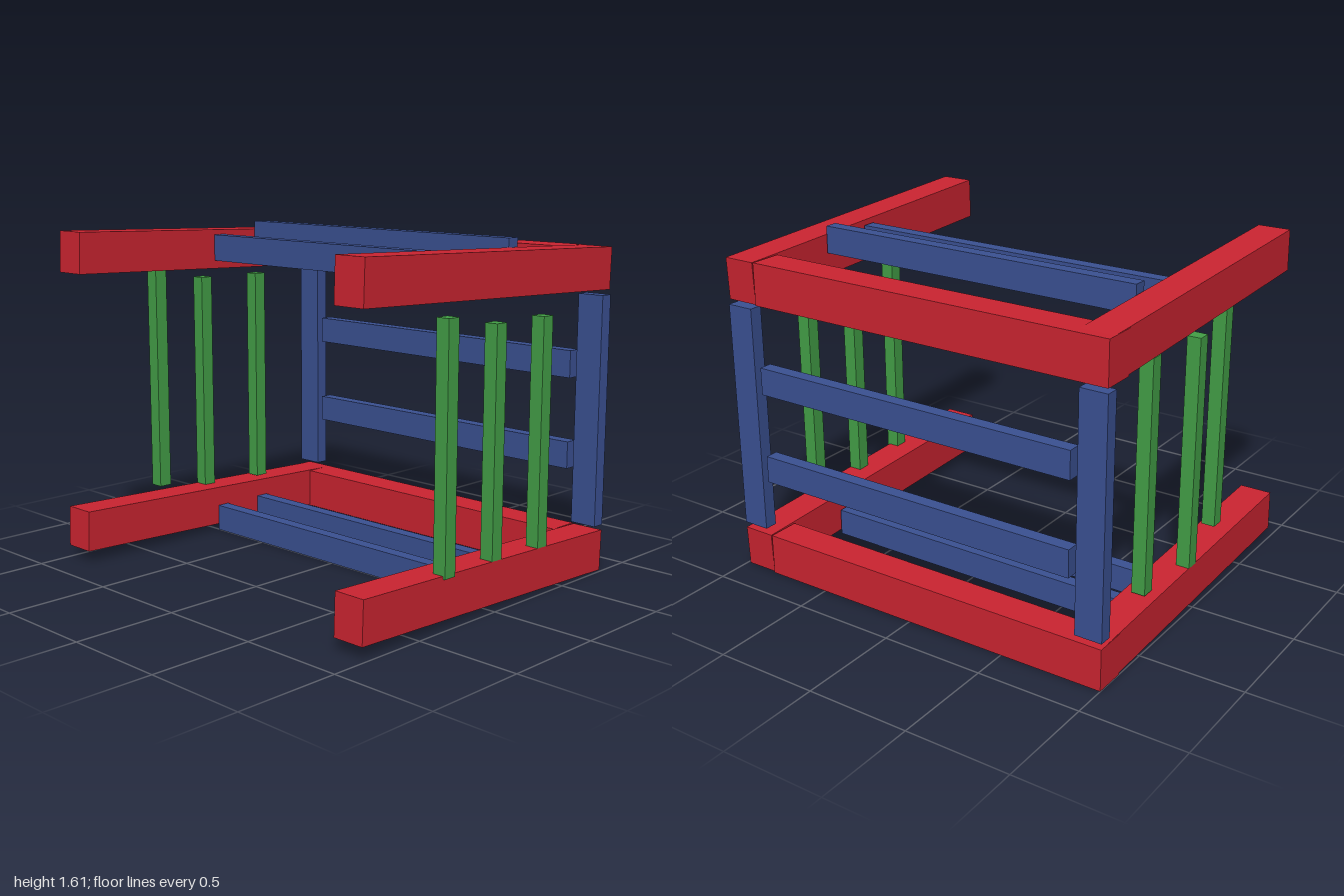
import * as THREE from 'three';

export function createModel() {
  const model = new THREE.Group();
  const red = new THREE.MeshStandardMaterial({ color: 0xcc2431 });
  const blue = new THREE.MeshStandardMaterial({ color: 0x3b5193 });
  const green = new THREE.MeshStandardMaterial({ color: 0x43a047 });

  // Box given by its extents [min, max] on each axis
  function bar(name, material, [x0, x1], [y0, y1], [z0, z1]) {
    const mesh = new THREE.Mesh(new THREE.BoxGeometry(x1 - x0, y1 - y0, z1 - z0), material);
    mesh.position.set((x0 + x1) / 2, (y0 + y1) / 2, (z0 + z1) / 2);
    mesh.name = name;
    model.add(mesh);
    return mesh;
  }

  // Side rails, rising slightly toward the front, and level back beams
  for (const [level, railY, beamY] of [['lower', 0.128, 0], ['upper', 1.476, 1.348]]) {
    for (const [side, x0] of [['Left', 0.828], ['Right', -0.998]]) {
      const rail = bar(level + side + 'Rail', red, [x0, x0 + 0.158],
        [railY - 0.0985, railY + 0.0985], [-0.827, 0.827]);
      rail.rotation.x = -0.035;
    }
    bar(level + 'BackBeam', red, [-1, 0.82], [beamY, beamY + 0.199], [-0.832, -0.675]);
  }

  // Back corner posts
  const backZ = [-0.83, -0.766];
  bar('leftBackPost', blue, [0.855, 0.988], [0.225, 1.325], backZ);
  bar('rightBackPost', blue, [-1, -0.868], [0.225, 1.325], backZ);

  // Horizontal slats: two in the back, two seat supports, two top supports
  const slats = [
    ['backSlat', 0.48, -0.798], ['backSlat', 0.92, -0.798],
    ['seatSlat', 0, -0.304], ['seatSlat', 0, -0.029],
    ['topSlat', 1.475, -0.304], ['topSlat', 1.418, -0.029],
  ];
  for (const [name, y, z] of slats) {
    bar(name, blue, [-0.835, 0.82], [y, y + 0.131], [z - 0.032, z + 0.032]);
  }

  // Upright side pickets: centre x, bottom y, centre z
  const pickets = [
    ['leftPicket', 0.965, 0.225, 0.307], ['leftPicket', 0.953, 0.17, -0.024],
    ['leftPicket', 0.953, 0.17, -0.354],
    ['rightPicket', -0.925, 0.285, 0.307], ['rightPicket', -0.967, 0.225, -0.024],
    ['rightPicket', -0.921, 0.225, -0.354],
  ];
  for (const [name, x, y, z] of pickets) {
    bar(name, green, [x - 0.033, x + 0.033], [y, y + 1.1], [z - 0.033, z + 0.033]);
  }

  return model;
}
